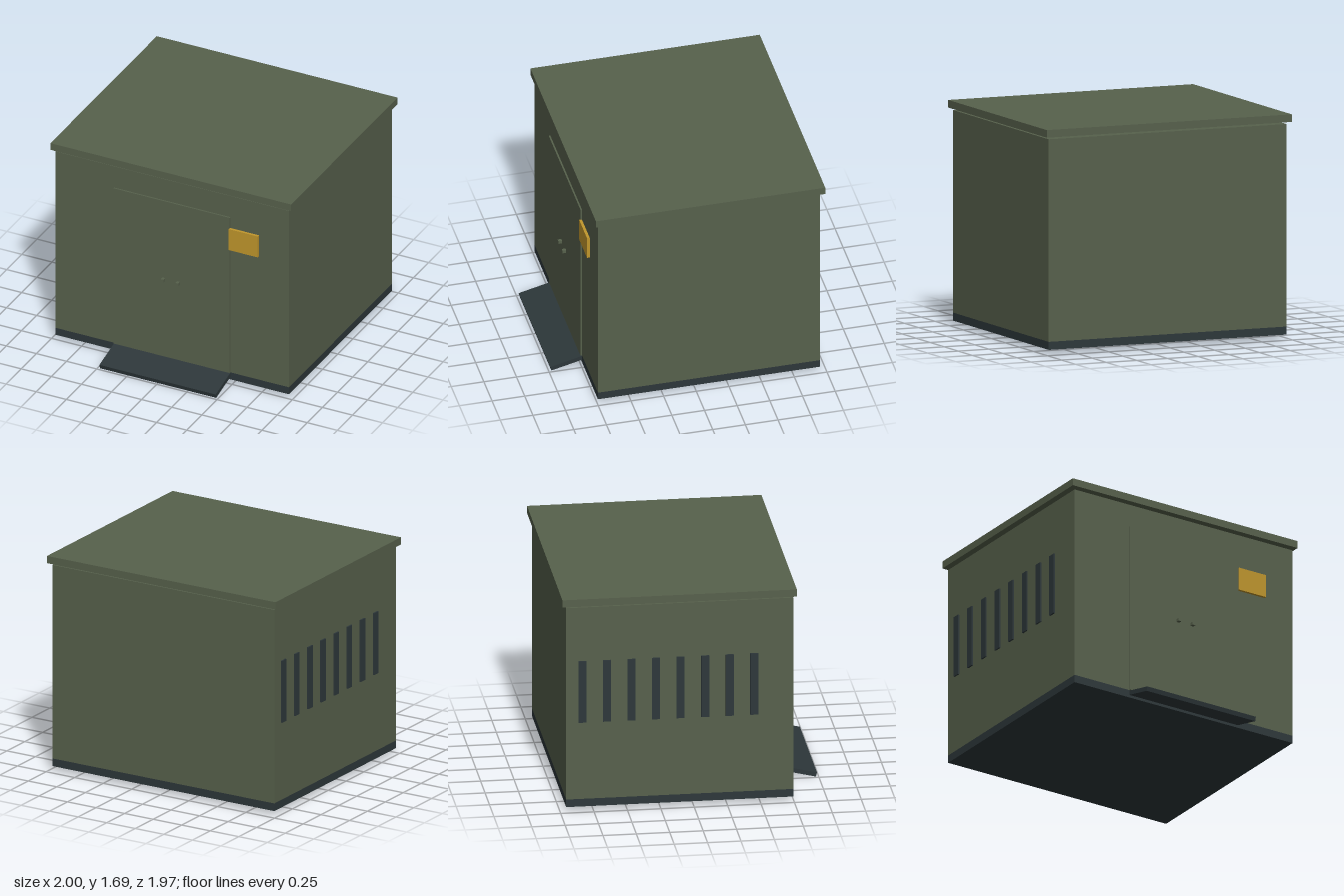
import * as THREE from 'three';

export function createModel() {
  const group = new THREE.Group();
  const material = (name, color) => {
    const m = new THREE.MeshStandardMaterial({ color });
    m.name = name;
    return m;
  };
  const green = material('olive green', 0x57614c);
  const dark = material('dark slate', 0x2d373a);
  const yellow = material('sign yellow', 0xc0962c);

  // Box given by its min and max along each axis
  const box = (name, mat, [x0, x1], [y0, y1], [z0, z1]) => {
    const mesh = new THREE.Mesh(new THREE.BoxGeometry(x1 - x0, y1 - y0, z1 - z0), mat);
    mesh.position.set((x0 + x1) / 2, (y0 + y1) / 2, (z0 + z1) / 2);
    mesh.name = name;
    group.add(mesh);
    return mesh;
  };

  // Shelter body on its base, with a slightly raised overhanging roof
  box('base', dark, [-0.97, 0.97], [0.037, 0.097], [-0.955, 0.745]);
  box('walls', green, [-0.97, 0.97], [0.097, 1.615], [-0.955, 0.745]);
  box('roof', green, [-1, 1], [1.633, 1.69], [-0.987, 0.768]);

  // Double door with two knobs
  box('door', green, [-0.483, 0.483], [0.097, 1.433], [0.735, 0.757]);
  for (const x of [-0.062, 0.062]) {
    box('doorKnob', green, [x - 0.012, x + 0.012], [0.753, 0.777], [0.763, 0.792]);
  }

  // Sign plate beside the door
  box('sign', yellow, [0.48, 0.72], [1.16, 1.34], [0.745, 0.766]);

  // Sloping entry ramp
  const ramp = box('ramp', dark, [-0.483, 0.483], [0.032, 0.066], [0.717, 0.987]);
  ramp.rotation.x = 0.24;

  // Row of vent slats on the right wall
  for (let i = 0; i < 8; i++) {
    const z = -0.834 + i * 0.1837;
    box('ventSlat', dark, [-0.982, -0.965], [0.705, 1.19], [z - 0.03, z + 0.03]);
  }

  return group;
}
